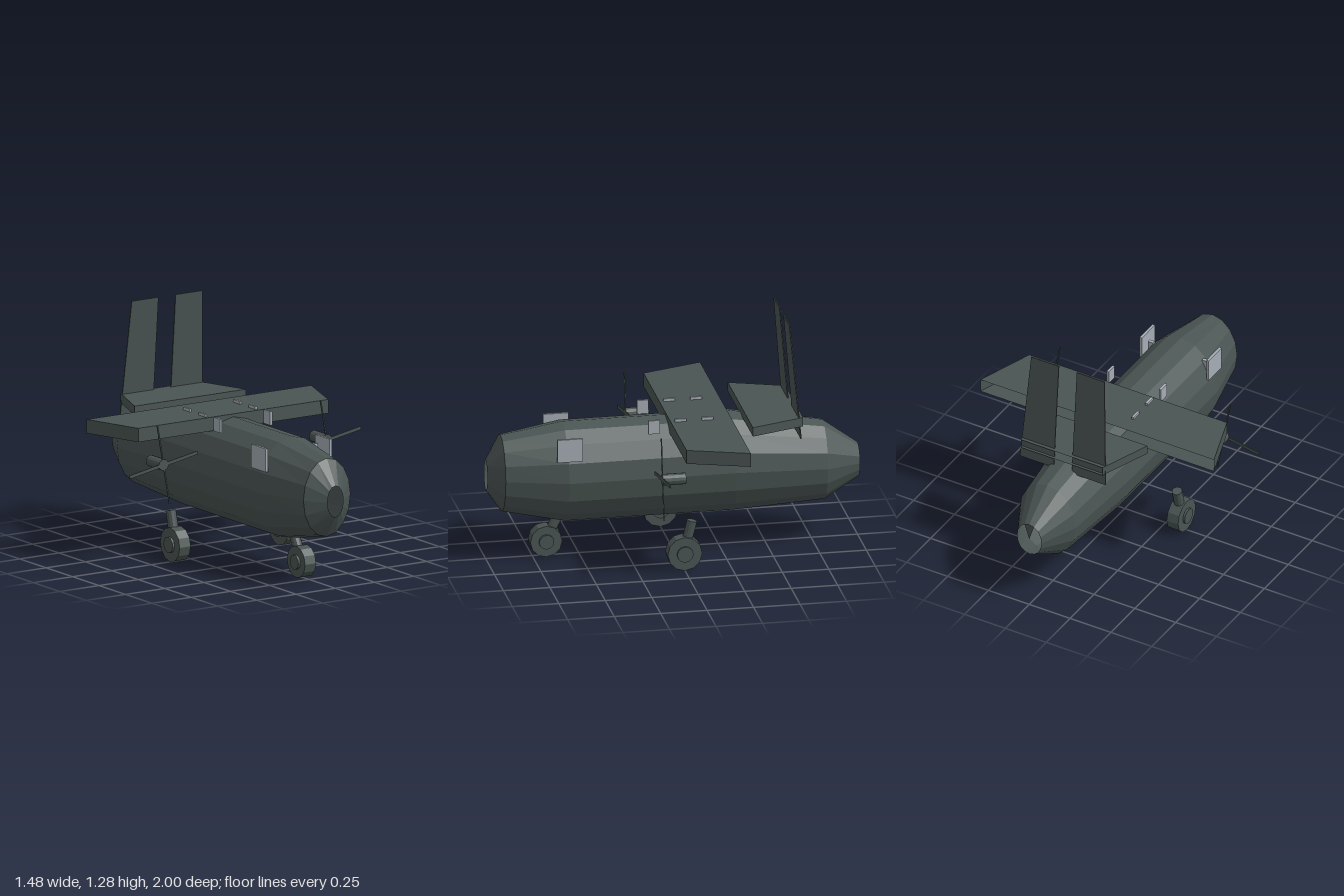
import * as THREE from 'three';

const hull = new THREE.MeshStandardMaterial({ color: 0x4a5553, flatShading: true, side: THREE.DoubleSide });
hull.name = 'dark slate';
const glass = new THREE.MeshStandardMaterial({ color: 0xa6adb6, flatShading: true });
glass.name = 'pale grey';

function add(parent, name, geometry, material, x = 0, y = 0, z = 0) {
  const mesh = new THREE.Mesh(geometry, material);
  mesh.name = name;
  mesh.position.set(x, y, z);
  parent.add(mesh);
  return mesh;
}

function build(points, index) {
  const g = new THREE.BufferGeometry();
  g.setAttribute('position', new THREE.Float32BufferAttribute(points, 3));
  g.setIndex(index);
  g.computeVertexNormals();
  return g;
}

// Open tube of elliptical rings: [z, half width, bottom, top]
function fuselageGeometry() {
  const rings = [
    [1, 0.05, 0.385, 0.555], [0.92, 0.15, 0.265, 0.69], [0.59, 0.22, 0.195, 0.745],
    [-0.31, 0.22, 0.195, 0.745], [-0.81, 0.172, 0.22, 0.66], [-1, 0.075, 0.33, 0.52],
  ];
  const n = 16, points = [], index = [];
  for (const [z, w, lo, hi] of rings) {
    for (let i = 0; i < n; i++) {
      const a = (i / n) * Math.PI * 2;
      points.push(w * Math.cos(a), (lo + hi) / 2 + ((hi - lo) / 2) * Math.sin(a), z);
    }
  }
  for (let r = 0; r < rings.length - 1; r++) {
    for (let i = 0; i < n; i++) {
      const a = r * n + i, b = r * n + (i + 1) % n;
      index.push(a, a + n, b, b, a + n, b + n);
    }
  }
  return build(points, index);
}

// Tapered slab, wider at the rear and open along its rear edge
function slabGeometry(front, back, zFront, zBack, y0, y1) {
  const points = [];
  for (const y of [y0, y1]) {
    points.push(-front, y, zFront, front, y, zFront, back, y, zBack, -back, y, zBack);
  }
  return build(points, [
    4, 5, 6, 4, 6, 7, 0, 2, 1, 0, 3, 2, // top, bottom
    0, 1, 5, 0, 5, 4, // front
    1, 2, 6, 1, 6, 5, 3, 0, 4, 3, 4, 7, // tips
  ]);
}

// Cylinder between two points
function rod(parent, name, from, to, radius) {
  const a = new THREE.Vector3(...from), b = new THREE.Vector3(...to);
  const dir = b.clone().sub(a);
  const mesh = add(parent, name, new THREE.CylinderGeometry(radius, radius, dir.length(), 12), hull);
  mesh.position.copy(a).add(b).multiplyScalar(0.5);
  mesh.quaternion.setFromUnitVectors(new THREE.Vector3(0, 1, 0), dir.normalize());
}

// Wheel with hub and leaning strut
function landingGear(name, x, z, radius, top) {
  const gear = new THREE.Group();
  gear.name = name;
  rod(gear, 'tyre', [x - 0.035, radius, z], [x + 0.035, radius, z], radius);
  rod(gear, 'hub', [x - 0.047, radius, z], [x + 0.047, radius, z], radius * 0.47);
  rod(gear, 'strut', [x, radius, z], [x, top[0], top[1]], 0.028);
  return gear;
}

// Engine pod with a crossed propeller
function engine(name, x) {
  const group = new THREE.Group();
  group.name = name;
  rod(group, 'pod', [x, 0.572, 0.025], [x, 0.572, 0.15], 0.031);
  const propeller = new THREE.Group();
  propeller.name = 'propeller';
  propeller.position.set(x, 0.572, 0.147);
  propeller.rotation.z = 0.18;
  add(propeller, 'wideBlade', new THREE.BoxGeometry(0.44, 0.018, 0.006), hull);
  add(propeller, 'narrowBlade', new THREE.BoxGeometry(0.007, 0.44, 0.006), hull);
  group.add(propeller);
  return group;
}

export function createModel() {
  const model = new THREE.Group();
  model.name = 'aircraft';

  add(model, 'fuselage', fuselageGeometry(), hull);
  add(model, 'tailOpeningPlate', build(
    [0, 0.425, -1, 0.028, 0.513, -1, 0, 0.52, -1, -0.028, 0.513, -1],
    [0, 2, 1, 0, 3, 2]), hull);
  add(model, 'wing', slabGeometry(0.605, 0.715, 0.035, -0.29, 0.685, 0.76), hull);
  add(model, 'tailplane', slabGeometry(0.355, 0.25, -0.37, -0.66, 0.72, 0.77), hull);

  model.add(landingGear('noseGear', 0, 0.68, 0.086, [0.25, 0.595]));

  for (const s of [1, -1]) {
    const side = s > 0 ? 'left' : 'right';

    // Thin upright fin leaning forward
    const shape = new THREE.Shape([[0.055, 0], [0.262, 0], [0.224, 0.627], [0.055, 0.627]]
      .map(([x, y]) => new THREE.Vector2(s * x, y)));
    const fin = add(model, side + 'Fin',
      new THREE.ExtrudeGeometry(shape, { depth: 0.006, bevelEnabled: false }), hull, 0, 0.655, -0.65);
    fin.rotation.x = 0.085;

    model.add(engine(side + 'Engine', s * 0.52));
    model.add(landingGear(side + 'MainGear', s * 0.345, 0, 0.093, [0.268, -0.044]));

    // Cockpit pane, its bracket and the row of small cabin panes
    add(model, side + 'CockpitWindow', new THREE.BoxGeometry(0.014, 0.127, 0.137), glass, s * 0.204, 0.653, 0.585);
    add(model, side + 'WindowBracket', new THREE.BoxGeometry(0.03, 0.07, 0.02), glass, s * 0.165, 0.645, 0.56);
    for (const z of [0.125, -0.017, -0.162]) {
      add(model, side + 'CabinWindow', new THREE.BoxGeometry(0.014, 0.075, 0.062), glass, s * 0.16, 0.738, z);
    }
  }
  return model;
}
